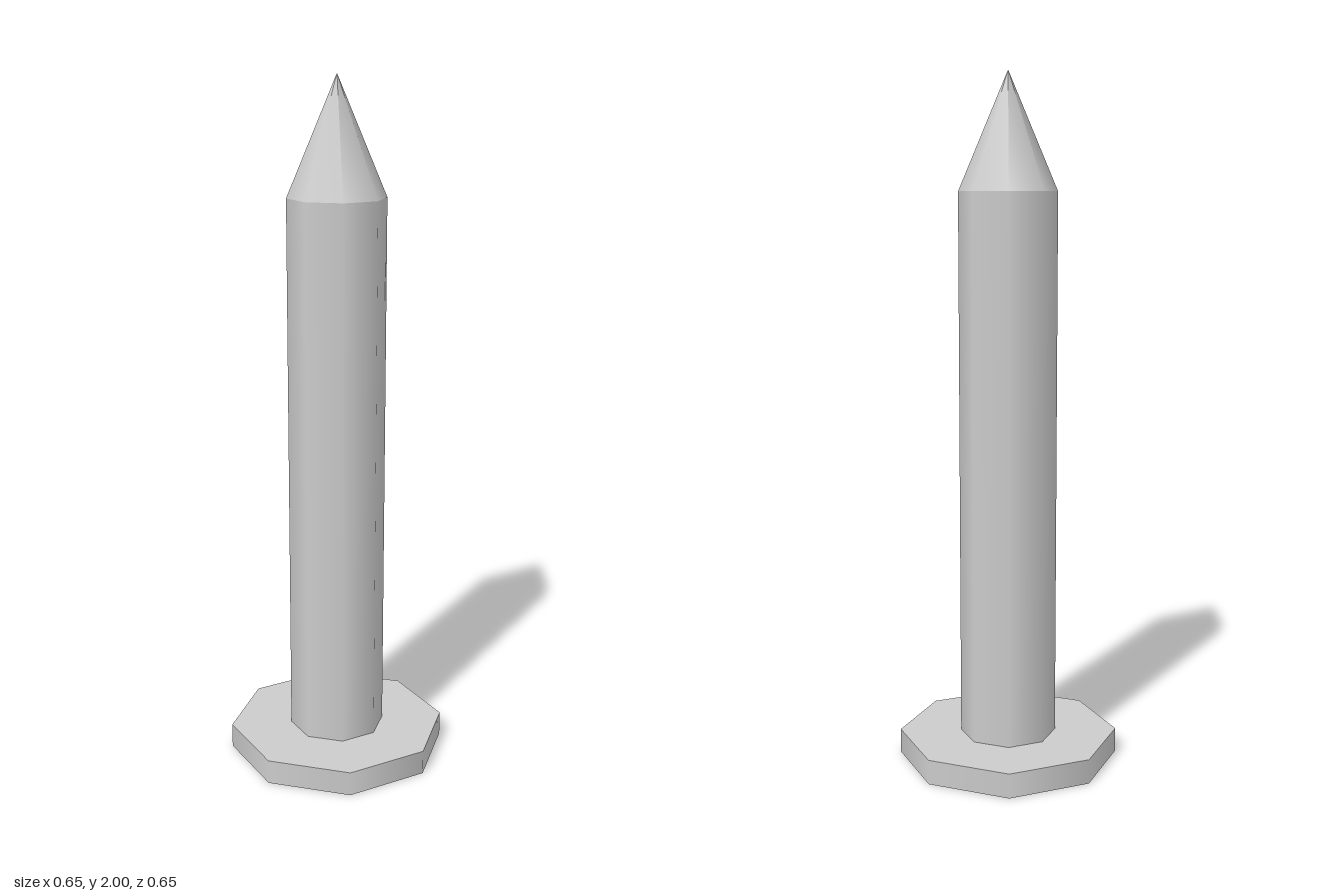
import * as THREE from 'three';

const SIDES = 8;

export function createModel() {
  const group = new THREE.Group();
  const material = new THREE.MeshStandardMaterial({ color: 0xcccccc });

  // Adds an eight-sided smooth-walled section standing between two heights
  const addSection = (name, topRadius, bottomRadius, y0, y1, open) => {
    const geometry = new THREE.CylinderGeometry(topRadius, bottomRadius, y1 - y0, SIDES, 1, open);
    const mesh = new THREE.Mesh(geometry, material);
    mesh.name = name;
    mesh.position.y = (y0 + y1) / 2;
    group.add(mesh);
  };

  // Flat head at the base, straight shaft, pointed tip
  addSection('head', 0.323, 0.323, 0, 0.072, false);
  addSection('shaft', 0.141, 0.141, 0.072, 1.667, true);
  addSection('tip', 0, 0.141, 1.667, 2, true);

  return group;
}
